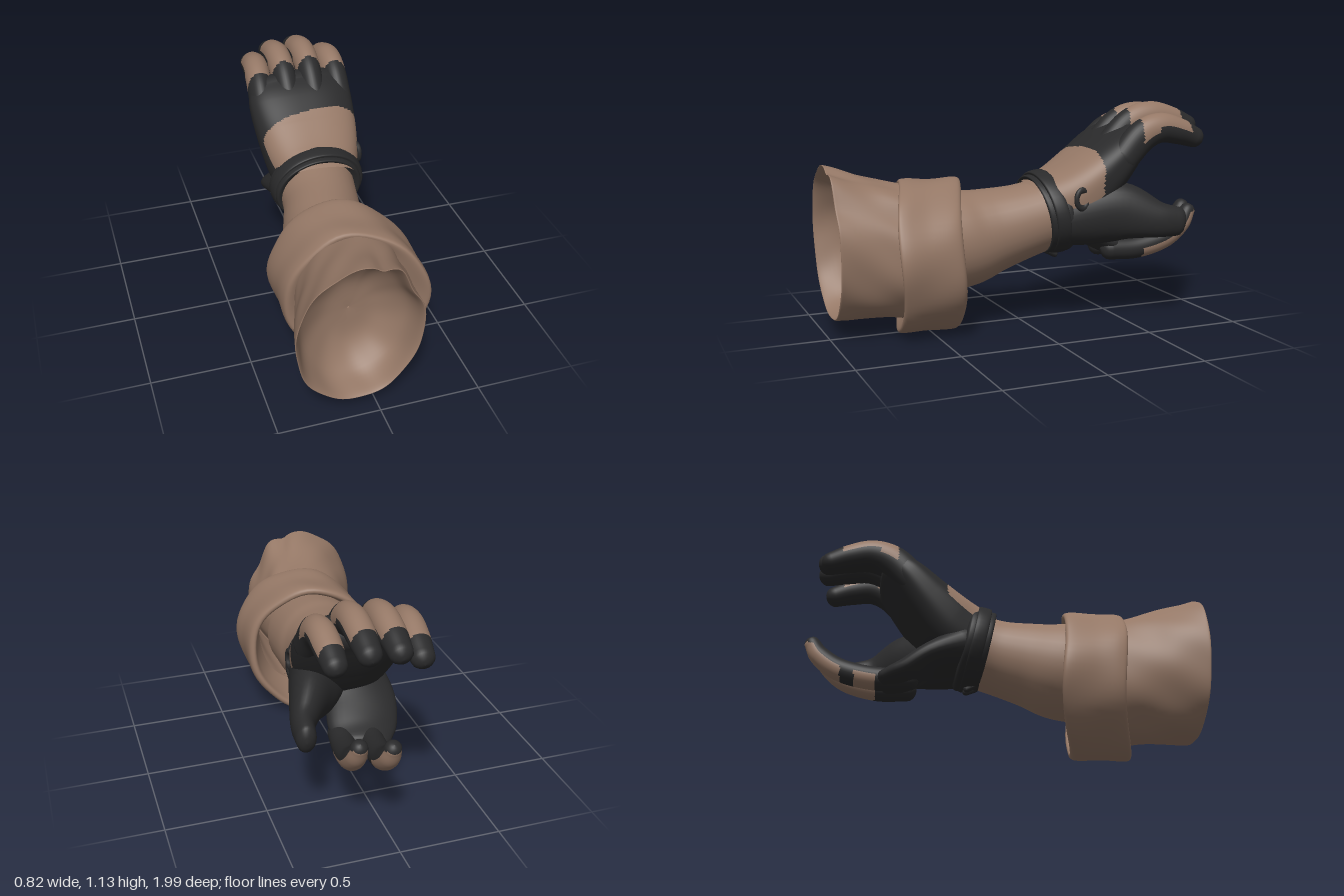
import * as THREE from 'three';

const brown = new THREE.MeshStandardMaterial({ color: 0x957866, side: THREE.DoubleSide });
brown.name = 'tan cloth';
const black = new THREE.MeshStandardMaterial({ color: 0x2a2a2b, side: THREE.DoubleSide });
black.name = 'black leather';

// Smooth skin through elliptical sections [x, y, z, rx, ry].
// fixed: sections stay upright; capStart, capEnd: rounded ends; warp: moves a vertex; isBrown: picks the face colour.
function loft(name, sections, opt = {}) {
  const { n = 32, sub = 6, fixed = false, capStart = !fixed, capEnd = !fixed, square = 1, warp, isBrown = () => false } = opt;
  const path = new THREE.CatmullRomCurve3(sections.map(s => new THREE.Vector3(s[0], s[1], s[2])), false, 'catmullrom');
  const size = new THREE.CatmullRomCurve3(sections.map(s => new THREE.Vector3(s[3], s[4], 0)), false, 'catmullrom');
  const steps = (sections.length - 1) * sub;
  const rings = [];
  const addRing = (t, phi) => {
    const c = path.getPoint(t), r = size.getPoint(t);
    const T = fixed ? new THREE.Vector3(0, 0, -1) : path.getTangent(t);
    const X = new THREE.Vector3(1, 0, 0).addScaledVector(T, -T.x).normalize();
    const N = new THREE.Vector3().crossVectors(X, T);
    c.addScaledVector(T, Math.sin(phi) * Math.min(r.x, r.y) * 0.85);
    const k = Math.max(Math.cos(phi), 0.01);
    rings.push({ c, X, N, rx: r.x * k, ry: r.y * k });
  };
  if (capStart) for (let i = 4; i > 0; i--) addRing(0, -i * Math.PI / 8);
  for (let i = 0; i <= steps; i++) addRing(i / steps, 0);
  if (capEnd) for (let i = 1; i <= 4; i++) addRing(1, i * Math.PI / 8);

  const pos = [], verts = [], parts = [[], []];
  const soft = v => Math.sign(v) * Math.pow(Math.abs(v), square);
  rings.forEach(({ c, X, N, rx, ry }) => {
    for (let j = 0; j < n; j++) {
      const a = j / n * Math.PI * 2;
      const p = c.clone().addScaledVector(X, rx * soft(Math.cos(a))).addScaledVector(N, ry * soft(Math.sin(a)));
      if (warp) warp(p, a);
      verts.push(p);
      pos.push(p.x, p.y, p.z);
    }
  });
  for (let i = 0; i < rings.length - 1; i++) for (let j = 0; j < n; j++) {
    const a = i * n + j, b = a + n, d = i * n + (j + 1) % n, c = d + n;
    const up = Math.sin((j + 0.5) / n * Math.PI * 2);
    parts[isBrown(verts[a], up) ? 0 : 1].push(a, b, d, b, c, d);
  }
  const g = new THREE.BufferGeometry();
  g.setAttribute('position', new THREE.Float32BufferAttribute(pos, 3));
  g.setIndex([...parts[0], ...parts[1]]);
  g.addGroup(0, parts[0].length, 0);
  g.addGroup(parts[0].length, parts[1].length, 1);
  g.computeVertexNormals();
  const mesh = new THREE.Mesh(g, [brown, black]);
  mesh.name = name;
  return mesh;
}

export function createModel() {
  const model = new THREE.Group();
  model.name = 'glovedArm';
  const allBrown = () => true;
  const bump = (a, at, width) => Math.exp(-Math.pow((a - at) / width, 2));

  // Bare forearm
  model.add(loft('forearm', [
    [-0.04, 0.43, 0.52, 0.25, 0.25], [-0.03, 0.45, 0.3, 0.24, 0.25], [-0.01, 0.485, 0.15, 0.21, 0.22],
    [0.02, 0.525, 0, 0.195, 0.195], [0.035, 0.565, -0.14, 0.2, 0.185],
  ], { isBrown: allBrown, capStart: false, capEnd: false }));

  // Sleeve: hollow bowl inside, rolled over the hem, then the creased outside
  model.add(loft('sleeve', [
    [-0.08, 0.44, 0.74, 0.005, 0.005], [-0.08, 0.44, 0.76, 0.14, 0.18], [-0.09, 0.45, 0.85, 0.25, 0.31],
    [-0.1, 0.465, 0.965, 0.293, 0.37], [-0.1, 0.465, 0.98, 0.305, 0.383], [-0.095, 0.46, 0.95, 0.305, 0.38],
    [-0.07, 0.44, 0.82, 0.295, 0.36], [-0.04, 0.425, 0.7, 0.285, 0.345], [0, 0.4, 0.52, 0.28, 0.33],
  ], {
    n: 96, fixed: true, isBrown: allBrown,
    warp: (p, a) => {
      const k = 0.008 * Math.sin(a * 5 + p.z * 14) + 0.008 * Math.sin(a * 9 - p.z * 20);
      const pleat = Math.max(0, Math.min(1, (p.z - 0.65) / 0.3));
      const fold = -0.04 * bump(a, 0.6, 0.2) + pleat * (0.045 * bump(a, 1.0, 0.16) - 0.035 * bump(a, 1.27, 0.1));
      const s = 1 + k + fold;
      p.x = -0.08 + (p.x + 0.08) * s;
      p.y = 0.44 + (p.y - 0.44) * s;
      p.z += 0.03 * (p.y - 0.5);
    },
  }));

  // Rolled cuff, slanted across the arm, with an open rim facing the hand
  model.add(loft('rolledCuff', [
    [0, 0.39, 0.62, 0.25, 0.3], [0, 0.39, 0.65, 0.325, 0.365], [0, 0.39, 0.61, 0.345, 0.38],
    [0, 0.39, 0.5, 0.342, 0.375], [0, 0.39, 0.38, 0.345, 0.38], [0, 0.39, 0.34, 0.335, 0.37],
    [0, 0.39, 0.34, 0.31, 0.345], [0, 0.39, 0.39, 0.29, 0.325], [0, 0.4, 0.5, 0.25, 0.28],
  ], {
    n: 64, fixed: true, isBrown: allBrown,
    warp: (p, a) => {
      const s = 1 + 0.012 * Math.sin(a * 4 + 1) + 0.01 * Math.sin(a * 7 + p.z * 12);
      p.x *= s;
      p.y = Math.max(0.39 + (p.y - 0.39) * s, 0);
      p.z += 0.23 * p.x + 0.012 * Math.sin(a * 3);
    },
  }));

  // Palm and back of the hand, tan between strap and knuckles
  model.add(loft('palm', [
    [0.04, 0.57, -0.12, 0.205, 0.185], [0.05, 0.65, -0.25, 0.245, 0.175], [0.055, 0.765, -0.375, 0.27, 0.148],
    [0.055, 0.88, -0.485, 0.278, 0.118], [0.055, 0.945, -0.555, 0.262, 0.09],
  ], {
    n: 96, sub: 20, square: 0.8, capStart: false,
    isBrown: (p, up) => up > 0.1 - 0.8 * p.x && p.z > -0.31 - 0.09 * p.x,
  }));

  // Lower palm carrying the two low fingers
  model.add(loft('lowerPalm', [
    [-0.01, 0.54, -0.2, 0.18, 0.12], [-0.02, 0.465, -0.37, 0.18, 0.075],
    [0.01, 0.39, -0.49, 0.17, 0.065], [0.03, 0.36, -0.58, 0.13, 0.05],
  ]));

  // Thumb with its broad base
  model.add(loft('thumb', [
    [0.11, 0.545, -0.15, 0.16, 0.14], [0.18, 0.57, -0.3, 0.14, 0.16], [0.265, 0.585, -0.46, 0.1, 0.15],
    [0.345, 0.545, -0.62, 0.06, 0.095], [0.365, 0.53, -0.735, 0.048, 0.075],
  ], { capStart: false }));

  // Four upper fingers: base x, tip x, height offset, reach offset
  [[-0.155, -0.115, -0.05, 0.02], [-0.015, -0.005, 0, 0], [0.125, 0.135, 0.01, 0], [0.27, 0.275, -0.04, 0.04]]
    .forEach(([x0, x1, dy, dz], i) => {
      const at = (t, y, z, rx, ry) => [x0 + (x1 - x0) * t, y + dy, z + dz * t, rx, ry];
      model.add(loft('upperFinger' + (i + 1), [
        at(0, 0.895, -0.46, 0.066, 0.08), at(0.2, 1.005, -0.575, 0.066, 0.082), at(0.5, 1.045, -0.69, 0.068, 0.077),
        at(0.8, 1.025, -0.81, 0.066, 0.068), at(1, 0.99, -0.915, 0.056, 0.054),
      ], {
        n: 36, sub: 16,
        isBrown: (p, up) => up > (p.z > -0.64 ? -0.1 : 0.2) && p.z < -0.55 && p.z > -0.845 + dz * 0.5,
      }));
    });

  // Two lower fingers curling upward, tan on the outside
  [[0.12, 0.175, 0.05], [-0.02, 0.035, 0]].forEach(([x0, x1, dz], i) => {
    const at = (t, y, z, r) => [x0 + (x1 - x0) * t, y, z + dz * t, r, r];
    model.add(loft('lowerFinger' + (i + 1), [
      at(0, 0.362, -0.47, 0.058), at(0.4, 0.365, -0.64, 0.06), at(0.8, 0.408, -0.81, 0.058),
      at(1, 0.48, -0.915, 0.052), at(1, 0.55, -0.962, 0.04),
    ], {
      n: 36, sub: 16,
      isBrown: (p, up) => up < 0 && p.z < -0.63 && p.y < 0.54 && (i === 0 || p.z > -0.74 || p.z < -0.81),
    }));
  });

  // Wrist strap: wide band with a raised narrow band over it, leaning forward at the bottom
  const tilt = p => { p.z -= 0.2 * (0.62 - p.y); };
  model.add(loft('wristStrap', [
    [0.035, 0.56, -0.07, 0.185, 0.18], [0.035, 0.56, -0.06, 0.225, 0.2], [0.038, 0.565, -0.11, 0.235, 0.205],
    [0.04, 0.575, -0.175, 0.245, 0.21], [0.04, 0.575, -0.195, 0.21, 0.18],
  ], { n: 48, fixed: true, warp: tilt }));
  model.add(loft('strapBand', [
    [0.04, 0.57, -0.085, 0.22, 0.195], [0.04, 0.57, -0.09, 0.242, 0.212],
    [0.04, 0.575, -0.15, 0.25, 0.217], [0.04, 0.575, -0.155, 0.22, 0.195],
  ], { n: 48, fixed: true, warp: tilt }));

  // Buckle loop at the side of the wrist
  const buckle = new THREE.Mesh(new THREE.TorusGeometry(0.035, 0.013, 10, 24), black);
  buckle.name = 'buckleLoop';
  buckle.position.set(0.29, 0.665, -0.225);
  buckle.rotation.y = Math.PI / 2 + 0.15;
  buckle.scale.y = 1.3;
  model.add(buckle);

  // Strap ends hanging under the wrist
  [0.03, 0.08].forEach((x, i) => {
    const end = new THREE.Mesh(new THREE.CapsuleGeometry(0.018, 0.05, 4, 10), black);
    end.name = 'strapEnd' + (i + 1);
    end.position.set(x, 0.362, -0.15);
    end.rotation.set(1.1, 0, 0.2 - i * 0.4);
    model.add(end);
  });

  return model;
}
